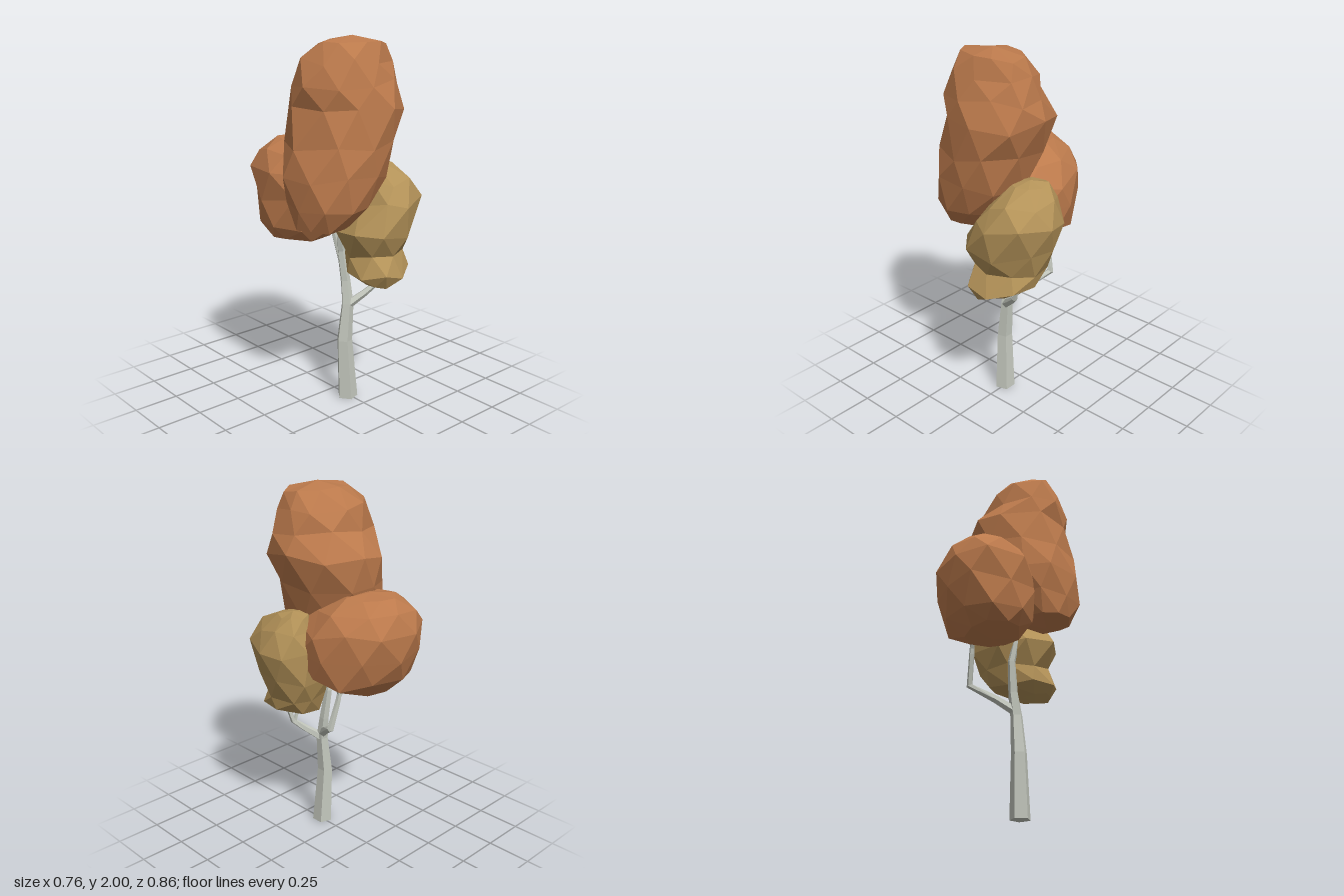
import * as THREE from 'three';

// Small seeded random in the range -1..1
function seeded(seed) {
  return () => {
    seed = (seed * 16807) % 2147483647;
    return (seed / 2147483647) * 2 - 1;
  };
}

// Joins rings of points into a closed skin; start and end are the cap centres
function loft(rings, start, end) {
  const pos = [];
  const tri = (...pts) => pts.forEach((p) => pos.push(p.x, p.y, p.z));
  const n = rings[0].length;
  const last = rings[rings.length - 1];
  for (let i = 0; i < n; i++) {
    const j = (i + 1) % n;
    tri(rings[0][i], rings[0][j], start);
    for (let k = 0; k < rings.length - 1; k++) {
      const low = rings[k], up = rings[k + 1];
      tri(low[i], up[i], low[j]);
      tri(low[j], up[i], up[j]);
    }
    tri(last[i], end, last[j]);
  }
  const geo = new THREE.BufferGeometry();
  geo.setAttribute('position', new THREE.Float32BufferAttribute(pos, 3));
  geo.computeVertexNormals();
  return geo;
}

// Faceted leaf mass from sections [y, xMin, xMax, zMin, zMax], bottom to top;
// shear slides each section sideways along its depth
function crownGeometry(sections, bottomY, topY, sides, shear, seed) {
  const rnd = seeded(seed);
  const rings = sections.map(([y, x0, x1, z0, z1], k) => {
    const ring = [];
    const edge = k === 0 || k === sections.length - 1;
    for (let i = 0; i < sides; i++) {
      const a = ((i + k * 0.5) / sides) * Math.PI * 2 + rnd() * 0.1;
      const r = 1.02 + rnd() * 0.045;
      const dz = Math.sin(a) * r * (z1 - z0) / 2;
      ring.push(new THREE.Vector3(
        (x0 + x1) / 2 + Math.cos(a) * r * (x1 - x0) / 2 + dz * shear,
        y + rnd() * (edge ? 0.012 : 0.025),
        (z0 + z1) / 2 + dz));
    }
    return ring;
  });
  const centre = ([, x0, x1, z0, z1], y) => new THREE.Vector3((x0 + x1) / 2, y, (z0 + z1) / 2);
  return loft(rings, centre(sections[0], bottomY), centre(sections[sections.length - 1], topY));
}

// Tapered angular limb through points [x, y, z, radius]
function limbGeometry(path, sides) {
  const pts = path.map(([x, y, z]) => new THREE.Vector3(x, y, z));
  const zAxis = new THREE.Vector3(0, 0, 1);
  const rings = pts.map((p, k) => {
    const t = pts[Math.min(k + 1, pts.length - 1)].clone()
      .sub(pts[Math.max(k - 1, 0)]).normalize();
    if (k === 0 && p.y === 0) t.set(0, 1, 0);
    const u = new THREE.Vector3().crossVectors(t, zAxis).normalize();
    const v = new THREE.Vector3().crossVectors(u, t);
    return Array.from({ length: sides }, (_, i) => {
      const a = ((i + 0.5) / sides) * Math.PI * 2;
      return p.clone().addScaledVector(u, Math.cos(a) * path[k][3])
        .addScaledVector(v, Math.sin(a) * path[k][3]);
    });
  });
  return loft(rings, pts[0], pts[pts.length - 1]);
}

export function createModel() {
  const material = (name, color) => {
    const m = new THREE.MeshStandardMaterial({ color, flatShading: true });
    m.name = name;
    return m;
  };
  const bark = material('paleBark', 0xc4c8be);
  const rust = material('rustLeaves', 0xbc7a4c);
  const gold = material('goldLeaves', 0xb39258);

  const tree = new THREE.Group();
  tree.name = 'tree';
  const add = (name, geo, mat) => {
    const mesh = new THREE.Mesh(geo, mat);
    mesh.name = name;
    tree.add(mesh);
  };

  // Trunk with its leader running up into the tall crown
  add('trunk', limbGeometry([
    [-0.008, 0, 0.122, 0.057], [-0.02, 0.34, 0.108, 0.044], [0, 0.55, 0.11, 0.034],
    [0.003, 0.68, 0.09, 0.027], [-0.01, 0.85, 0.07, 0.022], [-0.06, 1.12, 0.1, 0.012],
  ], 5), bark);

  // Side branches and the twigs at their tips
  const limbs = {
    backBranch: [[0, 0.575, 0.105, 0.026], [0.06, 0.64, 0.02, 0.022],
      [0.14, 0.715, -0.1, 0.019], [0.1, 0.88, -0.12, 0.015], [0.09, 0.94, -0.125, 0.012]],
    backTwigLeft: [[0.092, 0.91, -0.125, 0.012], [0.12, 0.98, -0.115, 0.006]],
    backTwigRight: [[0.092, 0.91, -0.125, 0.012], [0.055, 0.98, -0.14, 0.006]],
    frontBranch: [[0, 0.545, 0.115, 0.026], [0.08, 0.61, 0.165, 0.02],
      [0.14, 0.665, 0.2, 0.016], [0.18, 0.78, 0.215, 0.008]],
    frontTwig: [[0.135, 0.66, 0.198, 0.013], [0.11, 0.76, 0.18, 0.007]],
  };
  for (const [name, path] of Object.entries(limbs)) add(name, limbGeometry(path, 5), bark);

  // Tall rust crown
  add('tallCrown', crownGeometry([
    [1.04, -0.35, -0.07, 0.02, 0.28],
    [1.14, -0.37, 0.03, -0.05, 0.36],
    [1.3, -0.38, 0.13, -0.12, 0.39],
    [1.46, -0.34, 0.2, -0.17, 0.4],
    [1.64, -0.305, 0.25, -0.175, 0.41],
    [1.77, -0.325, 0.23, -0.08, 0.37],
    [1.88, -0.28, 0.2, -0.05, 0.33],
    [1.965, -0.21, 0.16, 0.04, 0.29],
  ], 1.0, 2.0, 9, 0.06, 29), rust);

  // Rounder rust crown at the back, reaching under the tall one
  add('backCrown', crownGeometry([
    [0.915, -0.28, 0.07, -0.28, 0.0],
    [1.0, -0.32, 0.21, -0.36, 0.09],
    [1.14, -0.33, 0.25, -0.42, 0.17],
    [1.27, -0.33, 0.24, -0.43, 0.15],
    [1.38, -0.28, 0.16, -0.39, 0.08],
    [1.445, -0.19, 0.06, -0.31, -0.06],
  ], 0.89, 1.46, 9, 0.2, 91), rust);

  // Leaning gold crown at the front left
  add('goldCrown', crownGeometry([
    [0.71, -0.03, 0.13, 0.21, 0.37],
    [0.76, -0.09, 0.27, 0.07, 0.42],
    [0.86, -0.06, 0.29, 0.03, 0.36],
    [0.98, -0.11, 0.34, -0.01, 0.41],
    [1.14, -0.0, 0.375, -0.02, 0.42],
    [1.25, 0.06, 0.33, 0.0, 0.36],
    [1.325, 0.11, 0.27, 0.04, 0.22],
  ], 0.68, 1.345, 8, -0.16, 53), gold);

  return tree;
}
